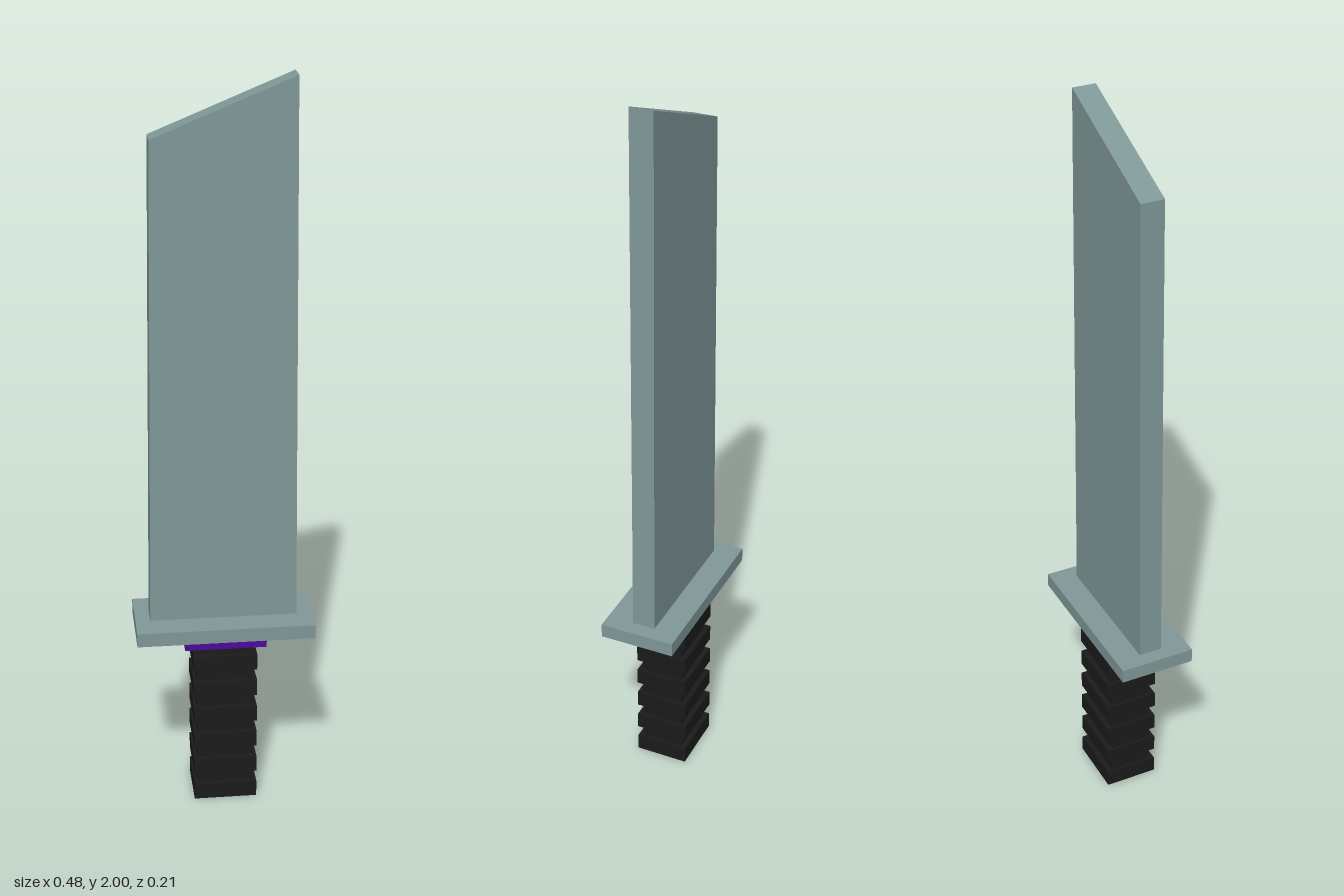
import * as THREE from 'three';

const steel = new THREE.MeshStandardMaterial({ color: 0x809899 });
steel.name = 'greyTealSteel';
const grip = new THREE.MeshStandardMaterial({ color: 0x1b1b1b });
grip.name = 'blackGrip';
const purple = new THREE.MeshStandardMaterial({ color: 0x4c089c });
purple.name = 'purpleCollar';

// Box centred on the vertical axis, spanning y0 to y1
function slab(name, width, depth, y0, y1, material) {
  const mesh = new THREE.Mesh(new THREE.BoxGeometry(width, y1 - y0, depth), material);
  mesh.position.y = (y0 + y1) / 2;
  mesh.name = name;
  return mesh;
}

export function createModel() {
  const model = new THREE.Group();
  model.name = 'sword';

  // Handle: a core with six evenly spaced square ridges
  const handle = new THREE.Group();
  handle.name = 'handle';
  handle.add(slab('handleCore', 0.154, 0.116, 0.005, 0.475, grip));
  for (let i = 0; i < 6; i++) {
    const y = i * 0.08;
    handle.add(slab('gripRidge', 0.172, 0.146, y, y + 0.046, grip));
  }
  model.add(handle);

  // Collar and crossguard
  model.add(slab('collar', 0.22, 0.164, 0.473, 0.503, purple));
  model.add(slab('guard', 0.478, 0.206, 0.503, 0.542, steel));

  // Blade: slightly tapered slab with a slanted tip
  const outline = new THREE.Shape([
    new THREE.Vector2(-0.199, 0.54),
    new THREE.Vector2(0.197, 0.54),
    new THREE.Vector2(0.182, 2),
    new THREE.Vector2(-0.184, 1.85),
  ]);
  const blade = new THREE.Mesh(
    new THREE.ExtrudeGeometry(outline, { depth: 0.063, bevelEnabled: false }), steel);
  blade.position.z = -0.033;
  blade.name = 'blade';
  model.add(blade);

  return model;
}
